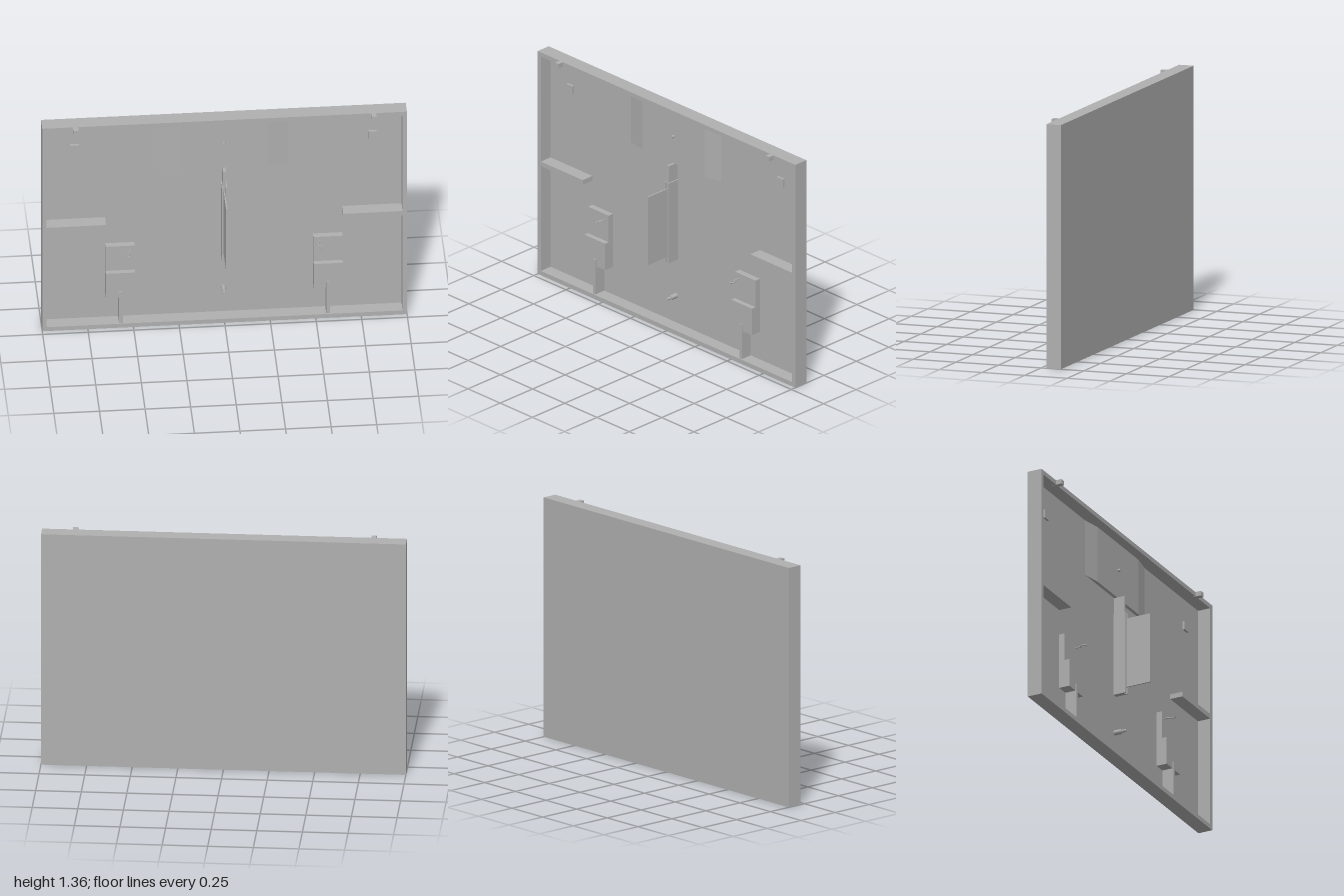
import * as THREE from 'three';

export function createModel() {
  const model = new THREE.Group();
  const grey = new THREE.MeshStandardMaterial({ color: 0xb0b0b0 });
  grey.name = 'plain grey';
  const FLOOR = -0.105, RIM = -0.03, BACK = -0.115, H = 1.355;

  const add = (name, geometry) => {
    const mesh = new THREE.Mesh(geometry, grey);
    mesh.name = name;
    model.add(mesh);
    return mesh;
  };
  // box given by its limits on each axis
  const box = (name, x0, x1, y0, y1, z0, z1) => {
    const mesh = add(name, new THREE.BoxGeometry(x1 - x0, y1 - y0, z1 - z0));
    mesh.position.set((x0 + x1) / 2, (y0 + y1) / 2, (z0 + z1) / 2);
    return mesh;
  };
  // round peg pointing forward
  const peg = (name, y, r, z0, z1) => {
    const mesh = add(name, new THREE.CylinderGeometry(r, r, z1 - z0, 12));
    mesh.rotation.x = Math.PI / 2;
    mesh.position.set(0, y, (z0 + z1) / 2);
  };

  // shallow tray: back panel and surrounding rim
  box('backPanel', -1, 1, 0, H, BACK, FLOOR);
  const frame = new THREE.Shape([[-1, 0], [1, 0], [1, H], [-1, H]].map(p => new THREE.Vector2(...p)));
  frame.holes.push(new THREE.Path(
    [[-0.976, 0.026], [-0.976, H - 0.026], [0.976, H - 0.026], [0.976, 0.026]].map(p => new THREE.Vector2(...p))));
  add('rim', new THREE.ExtrudeGeometry(frame, { depth: RIM - FLOOR, bevelEnabled: false }))
    .position.z = FLOOR;

  // raised panel with sloping sides under the top rim
  const panel = new THREE.Shape(
    [[-0.35, 0], [0.35, 0], [0.24, 0.02], [-0.24, 0.02]].map(p => new THREE.Vector2(...p)));
  const raised = add('raisedPanel', new THREE.ExtrudeGeometry(panel, { depth: 0.329, bevelEnabled: false }));
  raised.rotation.x = Math.PI / 2;
  raised.position.set(0, 1.329, FLOOR);

  // central rib, its side cheeks and the tall fin held between them
  box('centreRib', -0.008, 0.008, 0.414, 1.0, FLOOR, -0.042);
  for (const s of [-1, 1]) {
    box('ribCheek', s * 0.011 - 0.004, s * 0.011 + 0.004, 0.414, 0.9, FLOOR, RIM);
  }
  box('centreFin', -0.004, 0.004, 0.45, 0.863, FLOOR, 0.116);

  // pegs on the centre line
  peg('upperPeg', 1.165, 0.008, FLOOR, -0.068);
  peg('lowerPegBase', 0.19, 0.014, FLOOR, -0.06);
  peg('lowerPegTip', 0.19, 0.008, -0.06, -0.032);

  // parts mirrored on both sides
  for (const s of [-1, 1]) {
    const pair = (name, a, b, ...rest) =>
      box(name, Math.min(s * a, s * b), Math.max(s * a, s * b), ...rest);
    pair('shelf', 0.65, 0.976, 0.663, 0.691, FLOOR, RIM);
    pair('upperPad', 0.49, 0.65, 0.355, 0.516, FLOOR, -0.071);
    pair('lowerPad', 0.49, 0.65, 0.194, 0.355, FLOOR, -0.043);
    pair('padRib', 0.558, 0.578, 0.026, 0.235, FLOOR, -0.037);
    pair('squareBoss', 0.793, 0.842, 1.141, 1.19, FLOOR, -0.092);
    pair('topClip', 0.803, 0.832, H - 0.027, H, RIM - 0.02, 0.004);

    // small curved hook above each pad
    const curve = new THREE.CatmullRomCurve3([
      [0.52, -0.071], [0.517, -0.045], [0.53, -0.028], [0.527, -0.012], [0.516, -0.002],
    ].map(([x, z]) => new THREE.Vector3(s * x, 0.482, z)));
    add('hook', new THREE.TubeGeometry(curve, 16, 0.004, 8));
  }
  return model;
}
